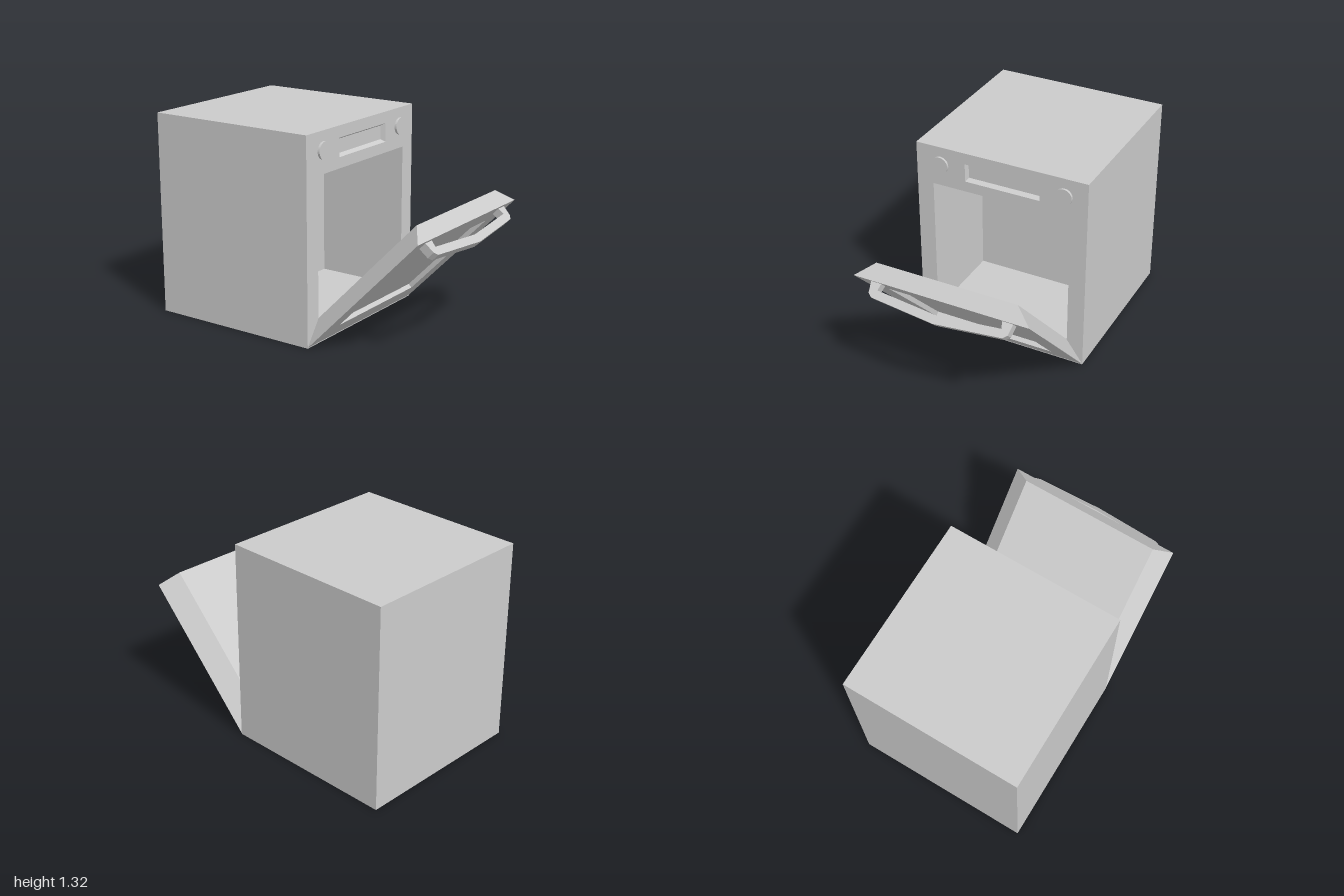
import * as THREE from 'three';

const material = new THREE.MeshStandardMaterial({ color: 0xcccccc, flatShading: true });

function part(name, geometry) {
  const mesh = new THREE.Mesh(geometry, material);
  mesh.name = name;
  return mesh;
}

// Rectangle in the y-z plane
const rect = (y0, y1, z0, z1) => ({ y0, y1, z0, z1 });

// Walls from one rectangle back (towards -x) to another, closed at the far end.
// With inside = true the faces look inwards, as in a recess.
function loft(x0, r0, x1, r1, inside = false) {
  const ring = (x, r) => [[x, r.y0, r.z0], [x, r.y0, r.z1], [x, r.y1, r.z1], [x, r.y1, r.z0]];
  const a = ring(x0, r0), b = ring(x1, r1), points = [];
  const quad = (p, q, r, s) => points.push(...(inside ? [p, r, q, p, s, r] : [p, q, r, p, r, s]).flat());
  for (let i = 0; i < 4; i++) {
    const j = (i + 1) % 4;
    quad(a[i], a[j], b[j], b[i]);
  }
  quad(...b);
  const geometry = new THREE.BufferGeometry();
  geometry.setAttribute('position', new THREE.Float32BufferAttribute(points, 3));
  geometry.computeVertexNormals();
  return geometry;
}

// Flat face looking along +x, with rectangular holes
function plate(x, outer, holes) {
  const corners = (r) => [[-r.z1, r.y0], [-r.z0, r.y0], [-r.z0, r.y1], [-r.z1, r.y1]]
    .map(([u, v]) => new THREE.Vector2(u, v));
  const shape = new THREE.Shape(corners(outer));
  holes.forEach((h) => shape.holes.push(new THREE.Path(corners(h).reverse())));
  return new THREE.ShapeGeometry(shape).rotateY(Math.PI / 2).translate(x, 0, 0);
}

function createBody() {
  const body = new THREE.Group();
  body.name = 'body';
  const front = 0.157;
  const outer = rect(0, 1.32, -0.58, 0.58);
  const opening = rect(0.1, 1.055, -0.468, 0.468);
  const display = rect(1.125, 1.245, -0.263, 0.243);
  const displayBack = rect(1.14, 1.229, -0.25, 0.232);
  body.add(
    part('casing', loft(front, outer, -1, outer)),
    part('frontPanel', plate(front, outer, [opening, display])),
    part('cavity', loft(front, opening, -0.47, opening, true)),
    part('displayRecess', loft(front, display, front - 0.03, displayBack, true)),
  );
  // Control knobs
  for (const z of [0.413, -0.425]) {
    const knob = part('knob', new THREE.CylinderGeometry(0.055, 0.055, 0.03, 32).rotateZ(-Math.PI / 2));
    knob.position.set(front, 1.2, z);
    body.add(knob);
  }
  return body;
}

// Door in its own frame: +y runs up from the hinge, +x points outwards
function createDoor() {
  const door = new THREE.Group();
  door.name = 'door';
  const outer = rect(0, 1.1, -0.58, 0.58);
  const inner = rect(0, 1.1, -0.466, 0.466);
  const pane = rect(0.174, 0.942, -0.413, 0.413);
  door.add(
    part('doorSlab', loft(0, outer, -0.11, inner)),
    part('doorFront', plate(0, outer, [pane])),
    part('windowRecess', loft(0, pane, -0.03, pane, true)),
  );

  // Bowed handle, drawn as (z, distance from door) and extruded up the door
  const half = [[0.47, 0], [0.46, 0.07], [0.435, 0.093]];
  const halfInside = [[0.41, 0.043], [0.4, 0]];
  const mirror = (list) => list.map(([z, d]) => [-z, d]).reverse();
  const outline = [...half, [0, 0.133], ...mirror(half), ...mirror(halfInside).slice(0, 2), [0, 0.08], ...halfInside];
  const shape = new THREE.Shape(outline.map(([z, d]) => new THREE.Vector2(z, d)));
  const bar = new THREE.ExtrudeGeometry(shape, { depth: 0.056, bevelEnabled: false });
  bar.applyMatrix4(new THREE.Matrix4().makeBasis(
    new THREE.Vector3(0, 0, 1), new THREE.Vector3(1, 0, 0), new THREE.Vector3(0, 1, 0)));
  const handle = part('handle', bar);
  handle.position.y = 1.019;
  door.add(handle);

  // Half-open position
  door.position.set(0.155, 0.003, 0);
  door.rotation.z = -0.77;
  return door;
}

export function createModel() {
  const oven = new THREE.Group();
  oven.name = 'oven';
  oven.add(createBody(), createDoor());
  return oven;
}
